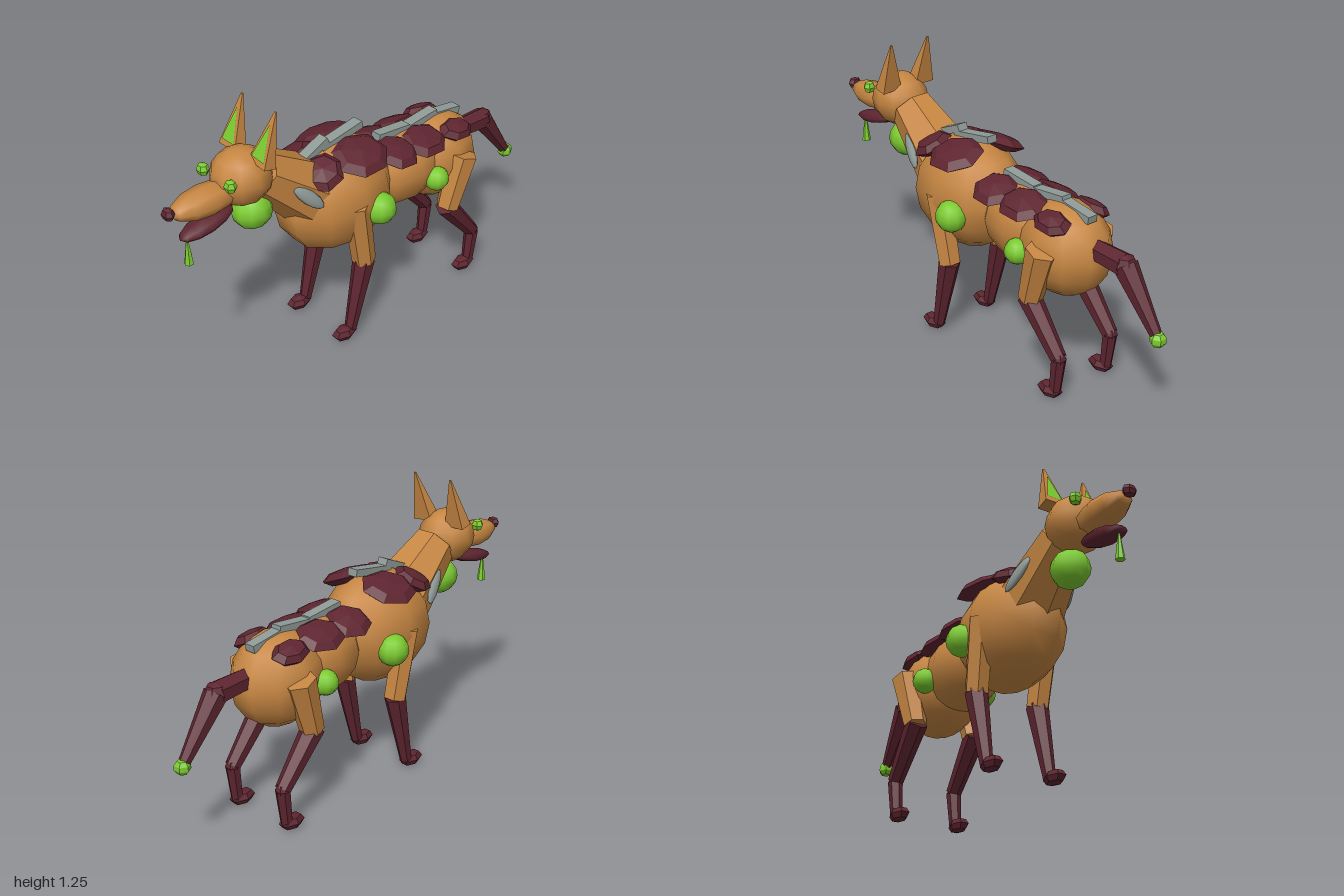
import * as THREE from 'three';

const paint = (name, color) => Object.assign(new THREE.MeshStandardMaterial({ color }), { name });

export function createModel() {
  const model = new THREE.Group();
  model.name = 'houndCreature';
  const fur = paint('tan fur', 0xc68642);
  const hide = paint('dark red hide', 0x5e2530);
  const slime = paint('slime green', 0x7ccb30);
  const bone = paint('grey bone', 0x909b98);

  const faceted = (geo) => {
    const g = geo.index ? geo.toNonIndexed() : geo;
    g.computeVertexNormals();
    return g;
  };
  const add = (name, geo, mat, pos = [0, 0, 0], rot = [0, 0, 0]) => {
    const mesh = new THREE.Mesh(geo, mat);
    mesh.name = name;
    mesh.position.set(...pos);
    mesh.rotation.set(...rot);
    model.add(mesh);
    return mesh;
  };
  // Smooth or faceted ellipsoid
  const ball = (name, mat, pos, radii, segs = [10, 8], flat = false, rot) => {
    const geo = new THREE.SphereGeometry(1, ...segs).scale(...radii);
    return add(name, flat ? faceted(geo) : geo, mat, pos, rot);
  };
  // Tapered faceted prism from point a to point b
  const strut = (name, mat, a, b, ra, rb, sides = 6, depth = 1, turn = 0) => {
    const from = new THREE.Vector3(...a), to = new THREE.Vector3(...b);
    const dir = to.clone().sub(from);
    const geo = new THREE.CylinderGeometry(rb, ra, dir.length(), sides).rotateY(turn).scale(1, 1, depth);
    const mesh = add(name, faceted(geo), mat);
    mesh.position.copy(from).add(to).multiplyScalar(0.5);
    mesh.quaternion.setFromUnitVectors(new THREE.Vector3(0, 1, 0), dir.normalize());
    return mesh;
  };

  // Trunk and neck
  ball('chest', fur, [0, 0.67, 0.145], [0.21, 0.25, 0.285]);
  ball('belly', fur, [0, 0.645, -0.24], [0.16, 0.175, 0.24]);
  ball('hips', fur, [0, 0.615, -0.45], [0.18, 0.205, 0.215]);
  strut('neck', fur, [0, 0.75, 0.3], [0, 0.94, 0.54], 0.15, 0.1, 7);

  // Head
  ball('head', fur, [0, 0.96, 0.625], [0.125, 0.122, 0.13]);
  ball('snout', fur, [0, 0.925, 0.8], [0.078, 0.165, 0.06], [8, 6], false, [Math.PI / 2, 0, 0]);
  ball('nose', hide, [0, 0.938, 0.975], [0.033, 0.027, 0.025], [6, 4], true);
  ball('lowerJaw', hide, [0, 0.82, 0.805], [0.06, 0.13, 0.03], [8, 6], false, [Math.PI / 2 + 0.18, 0, 0]);
  ball('throatSac', slime, [0, 0.78, 0.58], [0.082, 0.082, 0.088]);
  strut('drool', slime, [0, 0.672, 0.9], [0, 0.79, 0.9], 0.02, 0.004, 6);

  // Tail
  const bend = [0, 0.655, -0.78];
  strut('tailBase', hide, [0, 0.665, -0.58], bend, 0.045, 0.052);
  ball('tailBend', hide, bend, [0.05, 0.05, 0.05], [6, 4], true);
  strut('tailEnd', hide, bend, [0, 0.42, -0.955], 0.052, 0.025);
  ball('tailBulb', slime, [0, 0.405, -0.965], [0.036, 0.034, 0.036], [6, 5], true);

  // Spine plates: front z, front y, rear z, rear y
  [
    [0.33, 0.885, 0.19, 0.945],
    [0.22, 0.91, 0, 0.945],
    [-0.1, 0.835, -0.28, 0.815],
    [-0.25, 0.805, -0.45, 0.825],
    [-0.4, 0.815, -0.595, 0.785],
  ].forEach(([zf, yf, zr, yr]) => {
    const geo = new THREE.BoxGeometry(0.05, 0.032, Math.hypot(zf - zr, yr - yf));
    add('spinePlate', geo, bone, [0, (yf + yr) / 2, (zf + zr) / 2], [Math.atan2(yr - yf, zf - zr), 0, 0]);
  });

  // Back scales: x, y, z, half width, half length, pitch
  const scales = [
    [0.09, 0.862, 0.285, 0.09, 0.095, 0.35],
    [0.115, 0.878, 0.1, 0.115, 0.135, 0.02],
    [0.095, 0.787, -0.13, 0.1, 0.105, -0.1],
    [0.092, 0.775, -0.295, 0.098, 0.12, -0.06],
    [0.11, 0.764, -0.48, 0.065, 0.092, -0.1],
  ];

  for (const s of [1, -1]) {
    const side = s > 0 ? 'left' : 'right';

    for (const [x, y, z, w, l, pitch] of scales)
      ball(side + 'BackScale', hide, [s * x, y, z], [w, 0.036, l], [7, 4], true, [pitch, 0, -s * 0.38]);

    // Neck blade
    ball(side + 'NeckBlade', bone, [s * 0.128, 0.808, 0.39], [0.016, 0.088, 0.03], [8, 6], false,
      [0.76, 0, s * 0.25]);

    // Eye
    ball(side + 'Eye', slime, [s * 0.085, 0.998, 0.742], [0.029, 0.028, 0.026], [6, 4], true);

    // Ear with a thin inner panel
    const ear = strut(side + 'Ear', fur, [s * 0.09, 1.035, 0.59], [s > 0 ? 0.112 : -0.088, 1.25, 0.53],
      0.07, 0.006, 4, 0.6, Math.PI / 4);
    const panel = new THREE.BufferGeometry();
    const corner = (x, y) => [x, y, 0.02 - 0.12 * y];
    panel.setAttribute('position', new THREE.Float32BufferAttribute(
      [...corner(-0.037, -0.088), ...corner(0.037, -0.088), ...corner(0, 0.06)], 3));
    panel.computeVertexNormals();
    const inner = new THREE.Mesh(panel, slime);
    inner.name = side + 'InnerEar';
    ear.add(inner);

    // Pustules
    ball(side + 'ShoulderPustule', slime, [s * 0.188, 0.63, 0.05], [0.067, 0.07, 0.072]);
    ball(side + 'HipPustule', slime, [s * 0.152, 0.595, -0.325], [0.055, 0.055, 0.057]);

    // Front leg
    const x = s * 0.15;
    strut(side + 'FrontUpperLeg', fur, [s * 0.162, 0.69, 0.165], [x, 0.375, 0.11], 0.058, 0.052);
    strut(side + 'FrontLowerLeg', hide, [x, 0.38, 0.11], [x, 0.04, 0.19], 0.049, 0.027);
    ball(side + 'FrontPaw', hide, [x, 0.035, 0.225], [0.04, 0.032, 0.064], [6, 4], true);

    // Hind leg
    const hock = [x, 0.2, -0.578];
    strut(side + 'Thigh', fur, [s * 0.158, 0.66, -0.48], [x, 0.41, -0.405], 0.07, 0.052);
    strut(side + 'HindShin', hide, [x, 0.42, -0.395], hock, 0.05, 0.034);
    ball(side + 'Hock', hide, hock, [0.033, 0.033, 0.033], [6, 4], true);
    strut(side + 'HindLowerLeg', hide, hock, [x, 0.04, -0.56], 0.033, 0.026);
    ball(side + 'HindPaw', hide, [x, 0.035, -0.53], [0.04, 0.032, 0.064], [6, 4], true);
  }
  return model;
}
